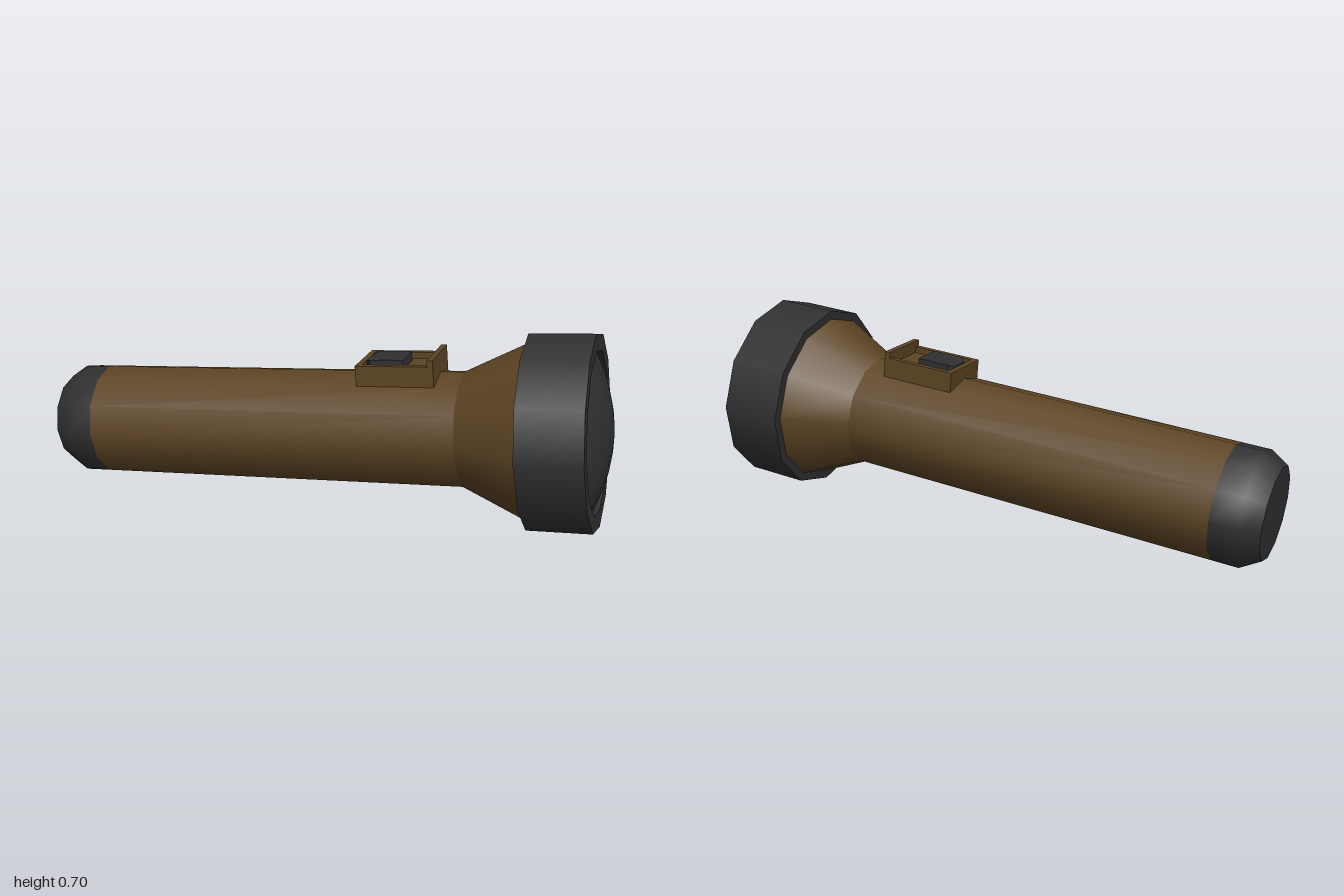
import * as THREE from 'three';
import { mergeGeometries } from 'three/addons/utils/BufferGeometryUtils.js';

const SIDES = 12;

// Merges lathed strips about the x axis; each strip is smooth, joins stay sharp.
// Points are [distance along axis, radius].
function turned(...strips) {
  const parts = strips.map(strip => new THREE.LatheGeometry(
    strip.map(([u, r]) => new THREE.Vector2(r, u)), SIDES).rotateZ(-Math.PI / 2));
  return mergeGeometries(parts);
}

// Box given by its minimum and maximum along x and y, and along z
function block(x0, x1, y0, y1, z0, z1) {
  return new THREE.BoxGeometry(x1 - x0, y1 - y0, z1 - z0)
    .translate((x0 + x1) / 2, (y0 + y1) / 2, (z0 + z1) / 2);
}

export function createModel() {
  const brown = new THREE.MeshStandardMaterial({ color: 0x5e4524 });
  brown.name = 'brown';
  const black = new THREE.MeshStandardMaterial({ color: 0x303030 });
  black.name = 'black';

  // The torch lies tilted, resting on its tail
  const torch = new THREE.Group();
  torch.name = 'flashlight';
  torch.rotation.z = THREE.MathUtils.degToRad(5);
  torch.position.set(-0.985, 0.195, 0);

  const add = (name, geometry, material) => {
    const mesh = new THREE.Mesh(geometry, material);
    mesh.name = name;
    torch.add(mesh);
    return mesh;
  };

  // Tail cap with a bevelled end
  add('tailCap', turned(
    [[0, 0], [0, 0.16]],
    [[0, 0.16], [0.065, 0.2], [0.16, 0.2]]
  ), black);

  // Barrel and flared neck
  add('barrel', turned([[0.16, 0.2], [1.505, 0.2]]), brown);
  add('neck', turned([[1.505, 0.2], [1.73, 0.305]]), brown);

  // Head ring, with a shallow recess for the lens
  add('headRing', turned(
    [[1.725, 0.27], [1.725, 0.334]],
    [[1.725, 0.334], [1.943, 0.334]],
    [[1.943, 0.334], [1.943, 0.277]],
    [[1.943, 0.277], [1.922, 0.277]]
  ), black);

  // Domed lens
  const dome = [];
  for (let i = 0; i <= 6; i++) {
    const r = 0.277 * (1 - i / 6);
    dome.push([1.992 - 0.07 * (r / 0.277) ** 2, r]);
  }
  add('lens', turned(dome), black);

  // Switch housing: floor, rim walls and a raised front lip
  add('switchHousing', mergeGeometries([
    block(1.155, 1.425, 0.172, 0.222, -0.1, 0.1),
    block(1.155, 1.175, 0.222, 0.244, -0.1, 0.1),
    block(1.175, 1.405, 0.222, 0.244, 0.08, 0.1),
    block(1.175, 1.405, 0.222, 0.244, -0.1, -0.08),
    block(1.405, 1.425, 0.222, 0.266, -0.1, 0.1)
  ]), brown);

  // Sliding button with a narrowed, lowered tail
  const outline = new THREE.Shape([
    [1.178, -0.035], [1.195, -0.057], [1.312, -0.057],
    [1.312, 0.057], [1.195, 0.057], [1.178, 0.035]
  ].map(([x, y]) => new THREE.Vector2(x, y)));
  const button = new THREE.ExtrudeGeometry(outline, { depth: 0.034, bevelEnabled: false })
    .rotateX(-Math.PI / 2).translate(0, 0.22, 0);
  const p = button.attributes.position;
  for (let i = 0; i < p.count; i++) {
    if (p.getY(i) > 0.23 && p.getX(i) < 1.18) p.setY(i, 0.247);
  }
  button.computeVertexNormals();
  add('switchButton', button, black);

  const model = new THREE.Group();
  model.name = 'flashlightModel';
  model.add(torch);
  return model;
}
